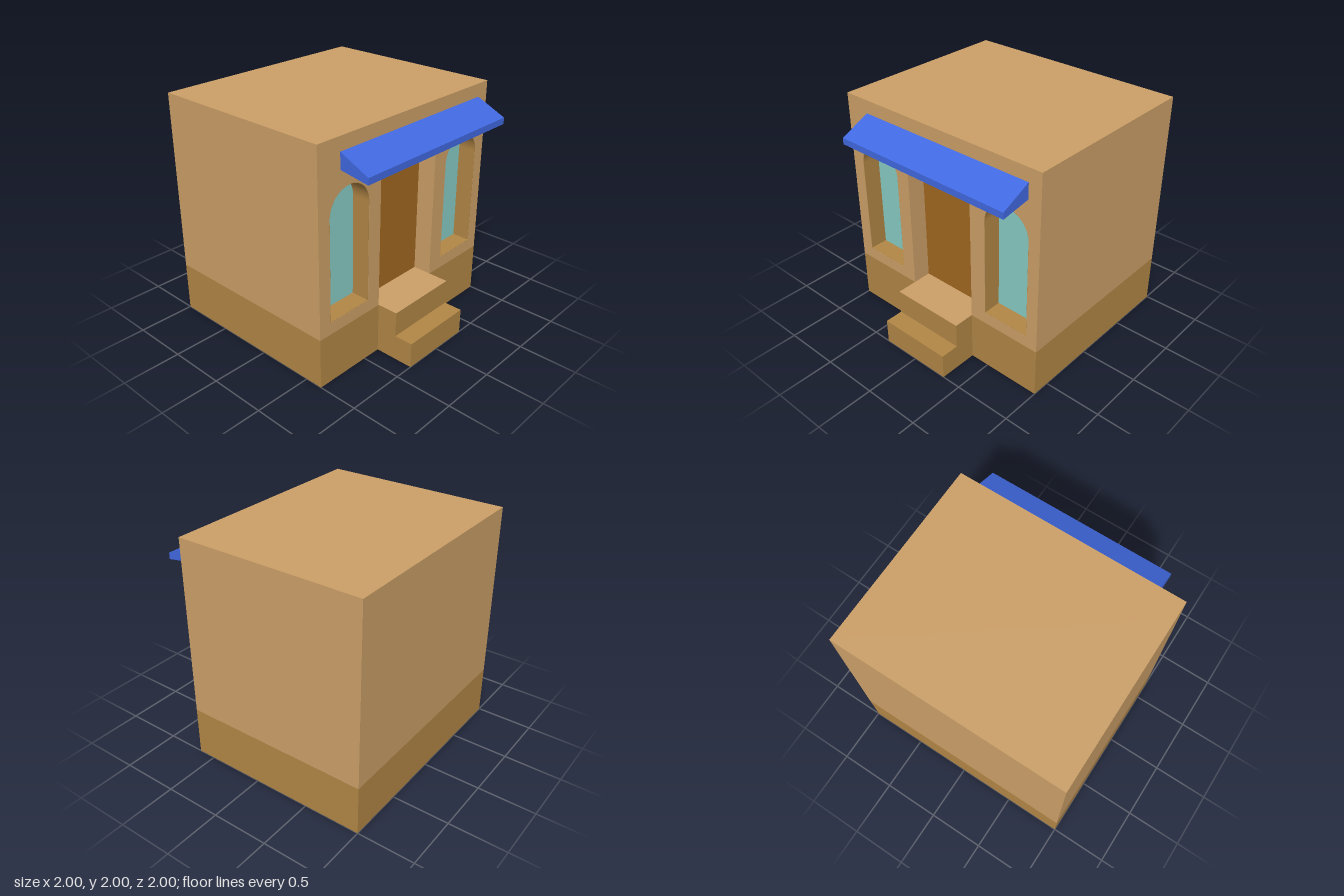
import * as THREE from 'three';

const WALL = 0xcca068, BASE = 0xb38746, DOOR = 0xa3681f, GLASS = 0x88ccc4, AWNING = 0x4169e1;
const FRONT = 0.655, RECESS = 0.49, PLINTH = 0.435;
const DOOR_L = -0.335, DOOR_R = 0.33, DOOR_TOP = 1.75;

function addMesh(group, name, geometry, color) {
  const mesh = new THREE.Mesh(geometry, new THREE.MeshStandardMaterial({ color }));
  mesh.name = name;
  group.add(mesh);
  return mesh;
}

// Box given by its minimum and maximum corners
function addBox(group, name, color, [x0, y0, z0], [x1, y1, z1]) {
  const mesh = addMesh(group, name, new THREE.BoxGeometry(x1 - x0, y1 - y0, z1 - z0), color);
  mesh.position.set((x0 + x1) / 2, (y0 + y1) / 2, (z0 + z1) / 2);
  return mesh;
}

function polygon(points) {
  return new THREE.Shape(points.map(([x, y]) => new THREE.Vector2(x, y)));
}

// Round-topped window outline, shrunk by inset
function arch(cx, inset = 0, Type = THREE.Shape) {
  const r = 0.211 - inset, bottom = 0.54 + inset, spring = 1.4;
  const path = new Type();
  path.moveTo(cx - r, bottom);
  path.lineTo(cx + r, bottom);
  path.lineTo(cx + r, spring);
  path.absarc(cx, spring, r, 0, Math.PI, false);
  path.lineTo(cx - r, bottom);
  return path;
}

function extrude(shape, depth) {
  return new THREE.ExtrudeGeometry(shape, { depth, bevelEnabled: false, curveSegments: 24 });
}

export function createModel() {
  const model = new THREE.Group();
  model.name = 'shopBuilding';
  const windows = [-0.675, 0.687];

  // Main volume: darker plinth below, plain walls above
  addBox(model, 'plinth', BASE, [-1, 0, -1], [1, PLINTH, FRONT]);
  addBox(model, 'walls', WALL, [-1, PLINTH, -1], [1, 2, RECESS]);

  // Facade with a door notch and two arched openings
  const facade = polygon([
    [-1, PLINTH], [DOOR_L, PLINTH], [DOOR_L, DOOR_TOP], [DOOR_R, DOOR_TOP],
    [DOOR_R, PLINTH], [1, PLINTH], [1, 2], [-1, 2],
  ]);
  windows.forEach((cx) => facade.holes.push(arch(cx, 0, THREE.Path)));
  addMesh(model, 'facade', extrude(facade, FRONT - RECESS), WALL).position.z = RECESS;

  // Windows: recessed pane with a thin darker lining
  windows.forEach((cx) => {
    const unit = new THREE.Group();
    unit.name = cx < 0 ? 'rightWindow' : 'leftWindow';
    addMesh(unit, 'pane', new THREE.ShapeGeometry(arch(cx), 24), GLASS).position.z = RECESS + 0.004;
    const ring = arch(cx);
    ring.holes.push(arch(cx, 0.003, THREE.Path));
    addMesh(unit, 'lining', extrude(ring, FRONT - RECESS - 0.002), BASE).position.z = RECESS;
    model.add(unit);
  });

  // Recessed door
  addBox(model, 'door', DOOR, [DOOR_L, PLINTH, RECESS - 0.02], [DOOR_R, DOOR_TOP, RECESS + 0.004]);

  // Entrance steps with a pale landing running into the doorway
  addBox(model, 'lowerStep', BASE, [DOOR_L, 0, FRONT], [DOOR_R, 0.22, 1]);
  addBox(model, 'upperStep', BASE, [DOOR_L, 0, FRONT], [DOOR_R, PLINTH, 0.837]);
  addBox(model, 'landing', WALL, [DOOR_L, PLINTH - 0.002, RECESS], [DOOR_R, PLINTH + 0.002, 0.837]);

  // Sloping awning: side profile in z, y swept across x
  const profile = polygon([[FRONT, 1.75], [0.914, 1.71], [0.914, 1.765], [FRONT, 1.885]]);
  const awning = addMesh(model, 'awning', extrude(profile, 1.66), AWNING);
  awning.rotation.y = -Math.PI / 2;
  awning.position.x = 0.885;

  return model;
}
